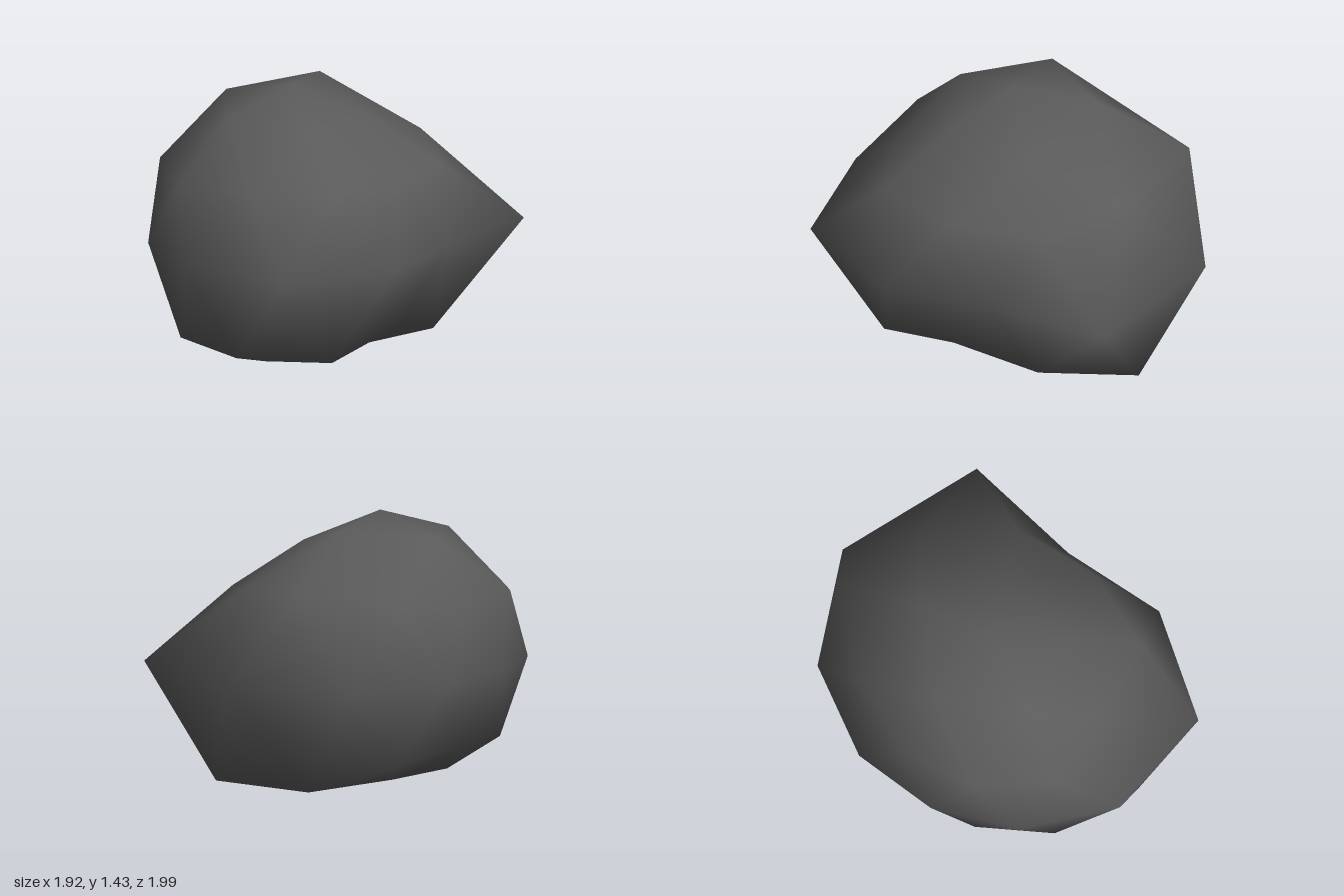
import * as THREE from 'three';

// Centre axis of the boulder
const CX = -0.23, CZ = -0.08;

// Each ring is a list of [radius, height, optional angle shift], 0 degrees at +x, turning towards -z
const EQUATOR = [[1.22, 0.65, -5], [1.1, 0.64], [0.92, 0.63], [0.78, 0.64], [0.72, 0.64],
  [0.77, 0.64], [0.92, 0.67], [1.07, 0.65], [0.96, 0.64], [0.85, 0.64]];
const TOP = {
  pole: 1.43, start: 0,
  inner: [[0.4, 1.26], [0.42, 1.39], [0.43, 1.33], [0.395, 1.31], [0.385, 1.28]],
  corner: [[0.77, 1.01], [0.91, 1.14], [0.66, 0.98], [0.705, 0.99], [0.77, 1.03]],
  mid: [[0.8, 1.07], [0.68, 1.05], [0.68, 1.03], [0.62, 1.02], [0.72, 1.02]],
};
const BOTTOM = {
  pole: 0, start: 36,
  inner: [[0.38, 0.02], [0.42, 0.09], [0.35, 0.08], [0.4, 0.05], [0.33, 0.07]],
  corner: [[0.93, 0.08, -2], [0.72, 0.22], [0.63, 0.3], [0.83, 0.18], [0.71, 0.26]],
  mid: [[0.8, 0.08], [0.6, 0.26], [0.69, 0.18], [0.76, 0.14], [0.73, 0.13]],
};

function createRockGeometry() {
  const positions = [], index = [];
  const addPoint = (r, y, degrees) => {
    const a = THREE.MathUtils.degToRad(degrees);
    positions.push(CX + r * Math.cos(a), y, CZ - r * Math.sin(a));
    return positions.length / 3 - 1;
  };
  const addRing = (ring, start, step) =>
    ring.map(([r, y, shift = 0], i) => addPoint(r, y, start + i * step + shift));

  const equator = addRing(EQUATOR, 18, 36);

  // One half: a pole fan, a belt of five corners and five midpoints, then the equator
  const addHalf = (half, flip) => {
    const face = (a, b, c) => (flip ? index.push(a, c, b) : index.push(a, b, c));
    const pole = addPoint(0, half.pole, 0);
    const inner = addRing(half.inner, half.start, 72);
    const corner = addRing(half.corner, half.start, 72);
    const mid = addRing(half.mid, half.start + 36, 72);
    const first = half.start / 36;
    for (let k = 0; k < 5; k++) {
      const n = (k + 1) % 5;
      const e = (i) => equator[(first + 2 * k + i + 10) % 10];
      face(pole, inner[k], inner[n]);
      face(inner[k], corner[k], mid[k]);
      face(inner[k], mid[k], inner[n]);
      face(inner[n], mid[k], corner[n]);
      face(corner[k], e(-1), e(0));
      face(corner[k], e(0), mid[k]);
      face(mid[k], e(0), e(1));
      face(mid[k], e(1), corner[n]);
    }
  };
  addHalf(TOP, false);
  addHalf(BOTTOM, true);

  const geometry = new THREE.BufferGeometry();
  geometry.setAttribute('position', new THREE.Float32BufferAttribute(positions, 3));
  geometry.setIndex(index);
  geometry.computeVertexNormals();
  return geometry;
}

export function createModel() {
  const stone = new THREE.MeshStandardMaterial({ color: 0x5a5a5a });
  stone.name = 'dark grey stone';
  const rock = new THREE.Mesh(createRockGeometry(), stone);
  rock.name = 'rock';
  const model = new THREE.Group();
  model.name = 'boulder';
  model.add(rock);
  return model;
}
